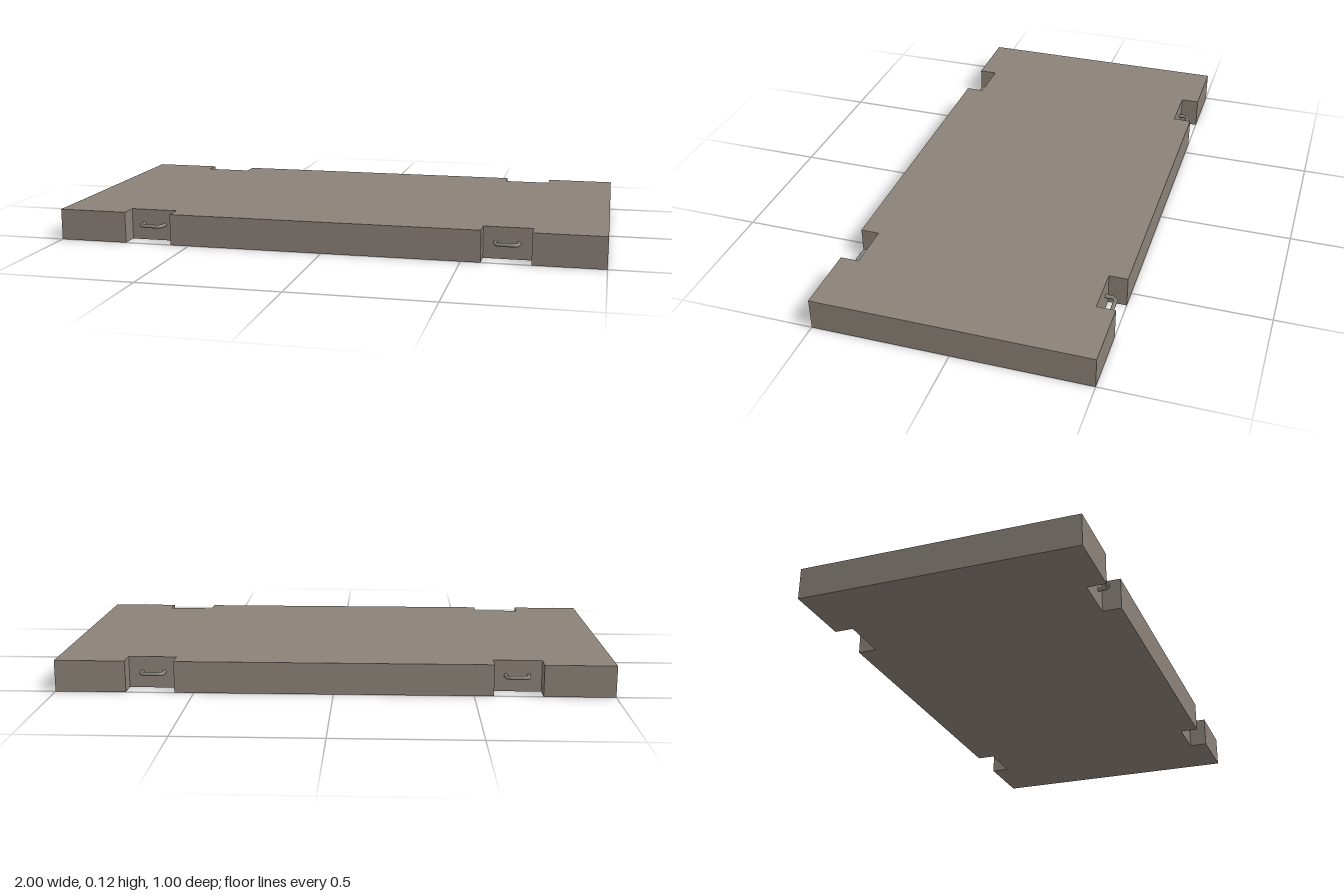
import * as THREE from 'three';

const HEIGHT = 0.115, DEPTH = 0.5, NOTCH = 0.432;

export function createModel() {
  const concrete = new THREE.MeshStandardMaterial({ color: 0x8b8279 });
  concrete.name = 'concrete';
  const steel = new THREE.MeshStandardMaterial({ color: 0x85817a });
  steel.name = 'steel';

  const model = new THREE.Group();
  model.name = 'roadSlab';

  // Slab outline with two notches on each long side
  const edge = [[-1, DEPTH], [-0.745, DEPTH], [-0.745, NOTCH], [-0.57, NOTCH], [-0.57, DEPTH],
    [0.57, DEPTH], [0.57, NOTCH], [0.745, NOTCH], [0.745, DEPTH], [1, DEPTH]];
  const outline = [...edge, ...edge.map(([x, z]) => [x, -z]).reverse()]
    .map(([x, z]) => new THREE.Vector2(x, z));
  const slabGeometry = new THREE.ExtrudeGeometry(new THREE.Shape(outline), { depth: HEIGHT, bevelEnabled: false });
  slabGeometry.rotateX(-Math.PI / 2);
  const slab = new THREE.Mesh(slabGeometry, concrete);
  slab.name = 'slab';
  model.add(slab);

  // Lifting loop: a flat U with rounded corners, its ends sunk into the slab
  const w = 0.041, r = 0.022, near = NOTCH - 0.01, far = 0.472;
  const v = (x, z) => new THREE.Vector3(x, 0, z);
  const path = new THREE.CurvePath();
  path.add(new THREE.LineCurve3(v(-w, near), v(-w, far - r)));
  path.add(new THREE.QuadraticBezierCurve3(v(-w, far - r), v(-w, far), v(-w + r, far)));
  path.add(new THREE.LineCurve3(v(-w + r, far), v(w - r, far)));
  path.add(new THREE.QuadraticBezierCurve3(v(w - r, far), v(w, far), v(w, far - r)));
  path.add(new THREE.LineCurve3(v(w, far - r), v(w, near)));
  const loopGeometry = new THREE.TubeGeometry(path, 40, 0.007, 10, false);

  for (const x of [-0.657, 0.656]) {
    for (const side of ['front', 'back']) {
      const loop = new THREE.Mesh(loopGeometry, steel);
      loop.name = side + (x > 0 ? 'Left' : 'Right') + 'LiftingLoop';
      loop.position.set(x, 0.06, 0);
      if (side === 'back') loop.rotation.y = Math.PI;
      model.add(loop);
    }
  }
  return model;
}
